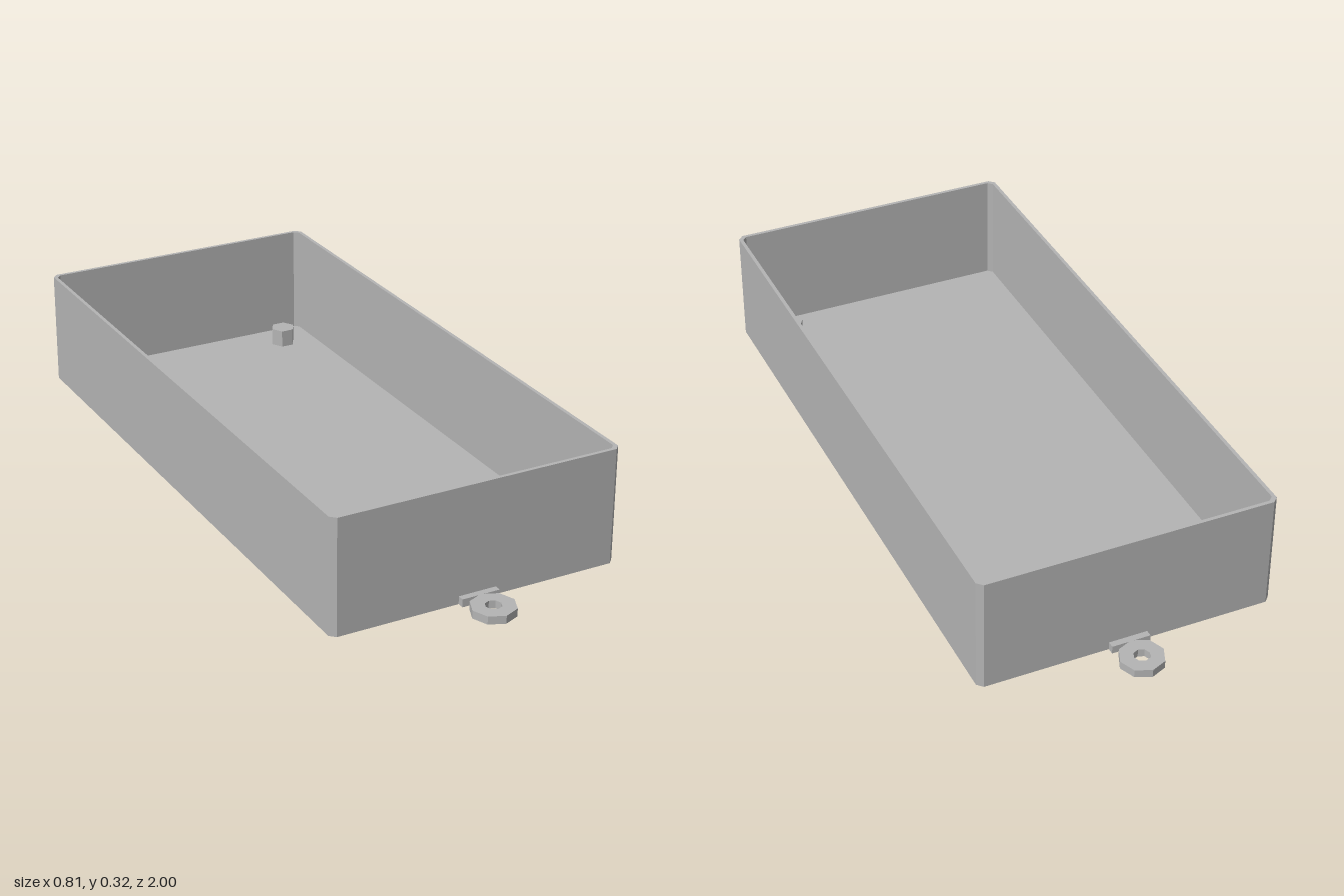
import * as THREE from 'three';

const HALF_X = 0.407, HALF_Z = 0.865, HEIGHT = 0.321, WALL = 0.01, FLOOR = 0.01;
const RING_R = 0.06, RING_H = 0.022;

// Rectangle with chamfered corners
function chamferedPoints(hx, hz, c) {
  return [
    [hx - c, -hz], [hx, c - hz], [hx, hz - c], [hx - c, hz],
    [c - hx, hz], [-hx, hz - c], [-hx, c - hz], [c - hx, -hz],
  ].map(([x, z]) => new THREE.Vector2(x, z));
}

// Regular polygon with its first corner on the x axis
function polygonPoints(r, n) {
  return Array.from({ length: n }, (_, i) => {
    const a = (i / n) * Math.PI * 2;
    return new THREE.Vector2(r * Math.cos(a), r * Math.sin(a));
  });
}

// Outline laid flat and extruded upward from y = 0
function slab(outline, hole, height) {
  const shape = new THREE.Shape(outline);
  if (hole) shape.holes.push(new THREE.Path(hole));
  const g = new THREE.ExtrudeGeometry(shape, { depth: height, bevelEnabled: false });
  return g.rotateX(-Math.PI / 2);
}

export function createModel() {
  const model = new THREE.Group();
  model.name = 'openTray';
  const grey = new THREE.MeshStandardMaterial({ color: 0xb4b4b4, flatShading: true });
  grey.name = 'grey';

  const add = (name, geometry, x = 0, y = 0, z = 0) => {
    const mesh = new THREE.Mesh(geometry, grey);
    mesh.name = name;
    mesh.position.set(x, y, z);
    model.add(mesh);
  };

  // Tray: floor plate and thin surrounding wall
  const outer = chamferedPoints(HALF_X, HALF_Z, 0.015);
  const inner = chamferedPoints(HALF_X - WALL, HALF_Z - WALL, 0.013);
  add('floor', slab(outer, null, FLOOR));
  add('wall', slab(outer, inner, HEIGHT - FLOOR), 0, FLOOR, 0);

  for (const s of [1, -1]) {
    const end = s > 0 ? 'front' : 'back';

    // Mounting ring joined to the end wall by a narrow strip
    add(end + 'MountingRing', slab(polygonPoints(RING_R, 8), polygonPoints(0.022, 8), RING_H),
      0, 0, s * (1 - RING_R));
    add(end + 'RingStrip', new THREE.BoxGeometry(0.106, RING_H, 0.02), 0, RING_H / 2, s * (HALF_Z + 0.008));

    // Hexagonal post standing on the floor
    add(end + 'Post', slab(polygonPoints(0.036, 6), null, 0.05), 0.295, FLOOR, s * 0.757);
  }
  return model;
}
